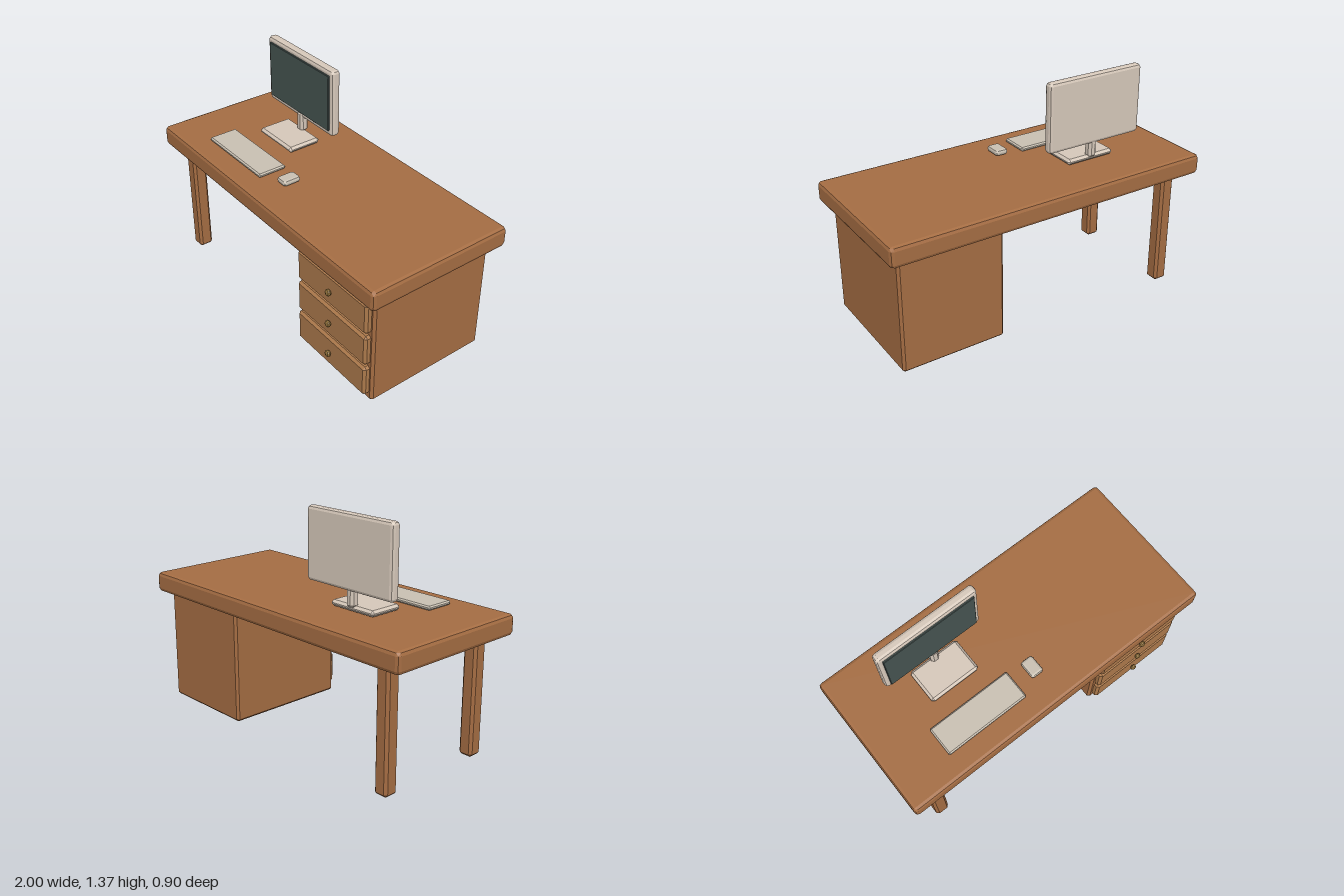
import * as THREE from 'three';
import { ConvexGeometry } from 'three/addons/geometries/ConvexGeometry.js';

const mat = (color) => new THREE.MeshStandardMaterial({ color, flatShading: true });

// Box with bevelled edges, given as [min, max] per axis; steps = facets per bevel
function bevelBox(name, material, [x0, x1], [y0, y1], [z0, z1], bevel, steps = 1) {
  const w = (x1 - x0) / 2 - bevel, h = (y1 - y0) / 2 - bevel, d = (z1 - z0) / 2 - bevel;
  const dirs = [[1, 0, 0], [0, 1, 0], [0, 0, 1]];
  if (steps > 1) dirs.push([1, 1, 0], [1, 0, 1], [0, 1, 1]);
  const points = [];
  for (const sx of [-1, 1]) for (const sy of [-1, 1]) for (const sz of [-1, 1])
    for (const dir of dirs) {
      const v = new THREE.Vector3(...dir).normalize().multiplyScalar(bevel);
      points.push(new THREE.Vector3(sx * (w + v.x), sy * (h + v.y), sz * (d + v.z)));
    }
  const mesh = new THREE.Mesh(new ConvexGeometry(points), material);
  mesh.position.set((x0 + x1) / 2, (y0 + y1) / 2, (z0 + z1) / 2);
  mesh.name = name;
  return mesh;
}

export function createModel() {
  const model = new THREE.Group();
  model.name = 'deskWithComputer';
  const wood = mat(0xa56d43), drawerWood = mat(0xad7a4c), brass = mat(0x8a6c38);
  const casing = mat(0xd6c8ba), plastic = mat(0xc9c0b2), glass = mat(0x465451);

  // Desk: top, two legs and the drawer cabinet
  const desk = new THREE.Group();
  desk.name = 'desk';
  desk.add(bevelBox('deskTop', wood, [-1, 1], [0.71, 0.83], [-0.45, 0.45], 0.022, 2));
  for (const [name, z] of [['frontLeg', 0.338], ['backLeg', -0.338]])
    desk.add(bevelBox(name, wood, [-0.877, -0.79], [0, 0.725], [z - 0.044, z + 0.044], 0.015));
  desk.add(bevelBox('cabinet', wood, [0.315, 0.94], [0.03, 0.73], [-0.385, 0.385], 0.014));

  // Three drawers with knobs
  ['bottom', 'middle', 'top'].forEach((level, i) => {
    const y = 0.17 + i * 0.21;
    const drawer = new THREE.Group();
    drawer.name = level + 'Drawer';
    drawer.add(bevelBox('drawerFront', drawerWood, [0.342, 0.918], [y - 0.096, y + 0.096], [0.368, 0.42], 0.014));
    const knob = new THREE.Mesh(new THREE.SphereGeometry(0.02, 8, 6), brass);
    knob.name = 'knob';
    knob.scale.z = 0.75;
    knob.position.set(0.63, y, 0.435);
    drawer.add(knob);
    desk.add(drawer);
  });
  model.add(desk);

  // Monitor on its stand
  const monitor = new THREE.Group();
  monitor.name = 'monitor';
  monitor.add(
    bevelBox('monitorCase', casing, [-0.725, -0.1], [0.955, 1.365], [-0.207, -0.15], 0.018, 2),
    bevelBox('screen', glass, [-0.697, -0.127], [0.988, 1.335], [-0.165, -0.14], 0.003),
    bevelBox('standNeck', casing, [-0.438, -0.386], [0.862, 0.99], [-0.196, -0.14], 0.014),
    bevelBox('standBase', casing, [-0.57, -0.255], [0.838, 0.873], [-0.178, 0.035], 0.014),
  );
  model.add(monitor);

  // Keyboard and mouse
  model.add(
    bevelBox('keyboard', plastic, [-0.675, -0.15], [0.833, 0.857], [0.142, 0.32], 0.008),
    bevelBox('mouse', plastic, [-0.063, 0.015], [0.837, 0.872], [0.155, 0.265], 0.014, 2),
  );
  return model;
}
